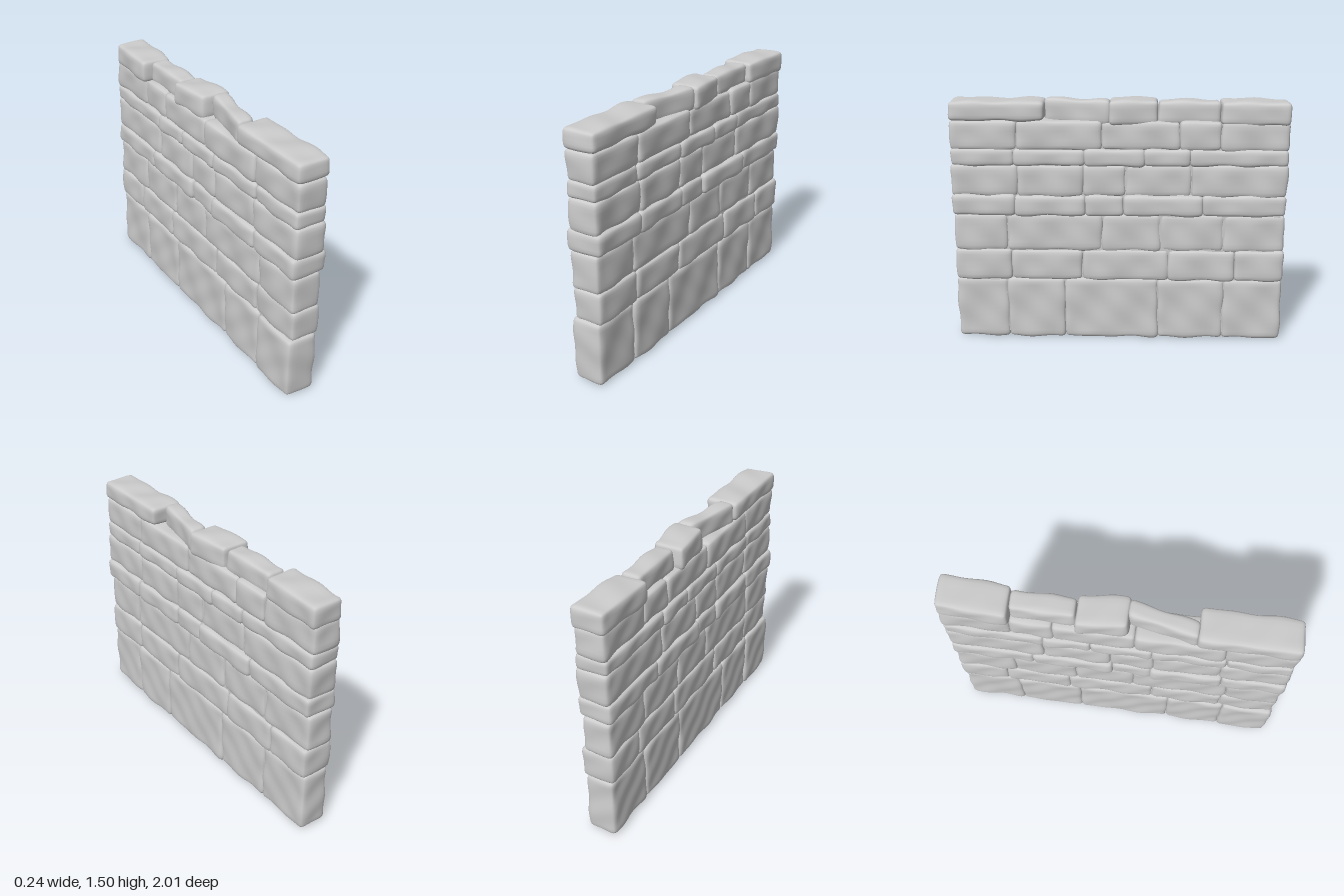
import * as THREE from 'three';
import { mergeVertices } from 'three/addons/utils/BufferGeometryUtils.js';

const material = new THREE.MeshStandardMaterial({ color: 0xcccccc });

// Seeded random numbers, 0..1
let seed = 7;
const rand = () => (seed = (seed * 16807) % 2147483647) / 2147483647;

// Courses from the ground up: height range, thickness range, joints along z
const courses = [
  { y: [0, 0.39], x: [-0.11, 0.1], joints: [0.68, 0.33, -0.24, -0.64] },
  { y: [0.39, 0.575], x: [-0.105, 0.108], joints: [0.65, 0.22, -0.3, -0.7] },
  { y: [0.575, 0.8], x: [-0.105, 0.097], joints: [0.67, 0.1, -0.25, -0.63] },
  { y: [0.8, 0.92], x: [-0.12, 0.115], joints: [0.62, 0.2, -0.03, -0.5] },
  { y: [0.92, 1.105], x: [-0.114, 0.098], joints: [0.6, 0.21, -0.04, -0.43] },
  { y: [1.105, 1.2], x: [-0.12, 0.112], joints: [0.62, 0.2, -0.15, -0.42] },
  { y: [1.2, 1.365], x: [-0.108, 0.103], joints: [0.6, 0.1, -0.36, -0.6] },
];

// Coping stones: z range, thickness range, sideways lean along z
const coping = [
  { z: [0.43, 1], x: [-0.11, 0.1], lean: 0 },
  { z: [0.05, 0.44], x: [-0.055, 0.05], lean: -0.08 },
  { z: [-0.235, 0.06], x: [-0.1, 0.095], lean: 0.03 },
  { z: [-0.6, -0.225], x: [-0.065, 0.065], lean: 0 },
  { z: [-1, -0.59], x: [-0.108, 0.098], lean: -0.02 },
];

// Worn block: rounded box with soft dents, vertices gathered near its edges
function stone(name, x, y, z, lean = 0) {
  const lo = new THREE.Vector3(x[0], y[0], z[0]);
  const hi = new THREE.Vector3(x[1], y[1], z[1]);
  const half = hi.clone().sub(lo).multiplyScalar(0.5);
  const centre = lo.clone().add(hi).multiplyScalar(0.5);
  const radius = Math.min(0.032, half.x * 0.55, half.y * 0.6);
  const inner = half.clone().subScalar(radius);
  const innerMin = inner.clone().negate();
  const seg = (h) => Math.max(8, Math.round((h * 2) / 0.025));
  const geometry = new THREE.BoxGeometry(2, 2, 2, seg(half.x), seg(half.y), seg(half.z));
  const phase = rand() * 6.28;
  const ease = (t) => 0.4 * t + 0.6 * Math.sin((t * Math.PI) / 2);
  const pos = geometry.attributes.position;
  const p = new THREE.Vector3(), core = new THREE.Vector3();
  for (let i = 0; i < pos.count; i++) {
    p.fromBufferAttribute(pos, i);
    p.set(ease(p.x), ease(p.y), ease(p.z)).multiply(half);
    core.copy(p).clamp(innerMin, inner);
    p.sub(core).normalize();
    const dent = 0.0035 * Math.sin(core.z * 19 + core.y * 13 + phase)
      + 0.003 * Math.sin(core.y * 31 - core.z * 27 + core.x * 20 + phase * 2) - 0.002;
    p.multiplyScalar(radius + dent).add(core);
    p.x += (lean * p.z) / (half.z * 2);
    p.add(centre);
    pos.setXYZ(i, p.x, Math.max(0, p.y), p.z);
  }
  geometry.deleteAttribute('normal');
  geometry.deleteAttribute('uv');
  const smooth = mergeVertices(geometry, 1e-5);
  smooth.computeVertexNormals();
  const mesh = new THREE.Mesh(smooth, material);
  mesh.name = name;
  return mesh;
}

export function createModel() {
  seed = 7;
  const wall = new THREE.Group();
  wall.name = 'stoneWall';

  // Mortar core closing the gaps between stones
  const core = new THREE.Mesh(new THREE.BoxGeometry(0.156, 1.29, 1.93), material);
  core.position.set(-0.003, 0.685, 0);
  core.name = 'mortarCore';
  wall.add(core);

  // Staggered courses of blocks, slightly overlapping at the joints
  courses.forEach(({ y, x, joints }, row) => {
    const course = new THREE.Group();
    course.name = `course${row + 1}`;
    const cuts = [1, ...joints, -1];
    for (let i = 0; i < cuts.length - 1; i++) {
      const thick = [x[0] + rand() * 0.014, x[1] - rand() * 0.014];
      const bottom = row === 0 ? 0 : y[0] - 0.004 - rand() * 0.006;
      const top = y[1] + 0.004 + rand() * 0.006;
      const z = [Math.max(-1, cuts[i + 1] - 0.006), Math.min(1, cuts[i] + 0.006)];
      course.add(stone('block', thick, [bottom, top], z, (rand() - 0.5) * 0.008));
    }
    wall.add(course);
  });

  // Coping along the top, with two narrower stones
  const top = new THREE.Group();
  top.name = 'coping';
  coping.forEach(({ x, z, lean }, i) => {
    top.add(stone('copingStone', x, [i === 0 ? 1.365 : 1.345, 1.485 + rand() * 0.008], z, lean));
  });
  wall.add(top);
  return wall;
}
